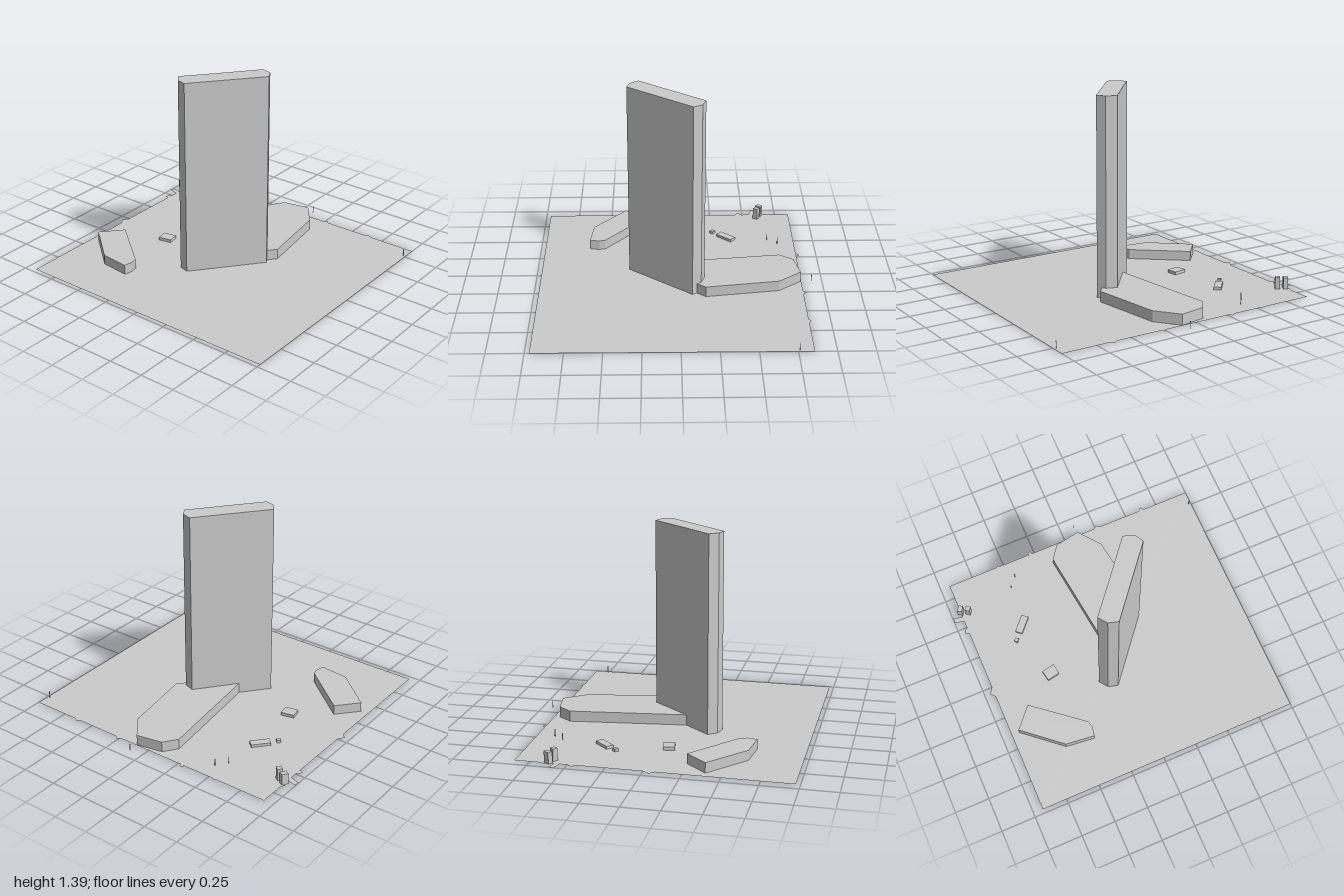
import * as THREE from 'three';

export function createModel() {
  const model = new THREE.Group();
  const solid = new THREE.MeshStandardMaterial({ color: 0xcccccc, flatShading: true });
  const sheet = new THREE.MeshStandardMaterial({ color: 0xcccccc, side: THREE.DoubleSide });

  // Plan outlines are [x, z] corners; the shape is laid flat afterwards
  const outline = (pts) => new THREE.Shape(pts.map(([x, z]) => new THREE.Vector2(x, -z)));
  const add = (name, geometry, material) => {
    const mesh = new THREE.Mesh(geometry, material);
    mesh.name = name;
    model.add(mesh);
    return mesh;
  };
  const block = (name, height, pts) => add(name,
    new THREE.ExtrudeGeometry(outline(pts), { depth: height, bevelEnabled: false }).rotateX(-Math.PI / 2), solid);
  const flat = (name, pts) => add(name,
    new THREE.ShapeGeometry(outline(pts)).rotateX(-Math.PI / 2), sheet);

  // Ground sheet
  flat('ground', [[-0.93, -0.855], [1, -0.855], [1, 0.97], [-0.93, 0.97]]);

  // Tall tower and the low wing against its back
  block('tower', 1.39, [[0.165, -0.175], [0.24, -0.15], [0.275, -0.09],
    [-0.085, 0.35], [-0.155, 0.33], [-0.2, 0.27], [-0.05, 0.09]]);
  block('podium', 0.075, [[-0.15, -0.72], [-0.08, -0.815], [0.105, -0.85], [0.23, -0.69],
    [0.305, -0.18], [0.255, -0.12], [0.165, -0.175], [-0.05, 0.09]]);

  // Separate low building
  block('lowBuilding', 0.07, [[-0.745, 0.245], [-0.395, 0.53], [-0.383, 0.575],
    [-0.395, 0.643], [-0.605, 0.62], [-0.875, 0.39]]);

  // Small outbuildings
  block('longShed', 0.02, [[-0.525, -0.425], [-0.485, -0.39], [-0.575, -0.29], [-0.615, -0.325]]);
  block('smallShed', 0.02, [[-0.632, -0.28], [-0.612, -0.263], [-0.63, -0.24], [-0.65, -0.26]]);
  block('squareShed', 0.022, [[-0.55, 0.04], [-0.455, 0.022], [-0.443, 0.1], [-0.535, 0.117]]);
  block('edgeHut', 0.08, [[-0.928, -0.655], [-0.9, -0.64], [-0.922, -0.6], [-0.953, -0.617]]);
  block('edgeHut', 0.085, [[-0.877, -0.63], [-0.85, -0.61], [-0.87, -0.58], [-0.9, -0.602]]);

  // Flat scraps reaching past the edges of the ground
  const scraps = [
    [[-0.995, -0.605], [-0.93, -0.588], [-0.93, -0.55], [-1, -0.57]],
    [[-0.93, -0.495], [-0.944, -0.49], [-0.957, -0.46], [-0.93, -0.448]],
    [[-0.93, 0], [-0.945, 0.02], [-0.96, 0.045], [-0.93, 0.075]],
    [[-0.93, -0.68], [-0.945, -0.65], [-0.93, -0.63]],
    [[-0.3, -0.865], [-0.275, -0.877], [-0.27, -0.855], [-0.29, -0.855]],
    [[0.24, -0.855], [0.262, -0.877], [0.285, -0.855]],
    [[0.61, -0.855], [0.625, -0.872], [0.66, -0.855]],
    [[-0.56, -0.855], [-0.54, -0.862], [-0.525, -0.855]],
  ];
  for (const pts of scraps) flat('edgeScrap', pts);

  // Thin posts
  for (const [x, z] of [[-0.513, -0.66], [-0.455, -0.732], [0.983, -0.76], [0.1, -0.926]]) {
    add('post', new THREE.BoxGeometry(0.004, 0.05, 0.004), solid).position.set(x, 0.025, z);
  }
  return model;
}
